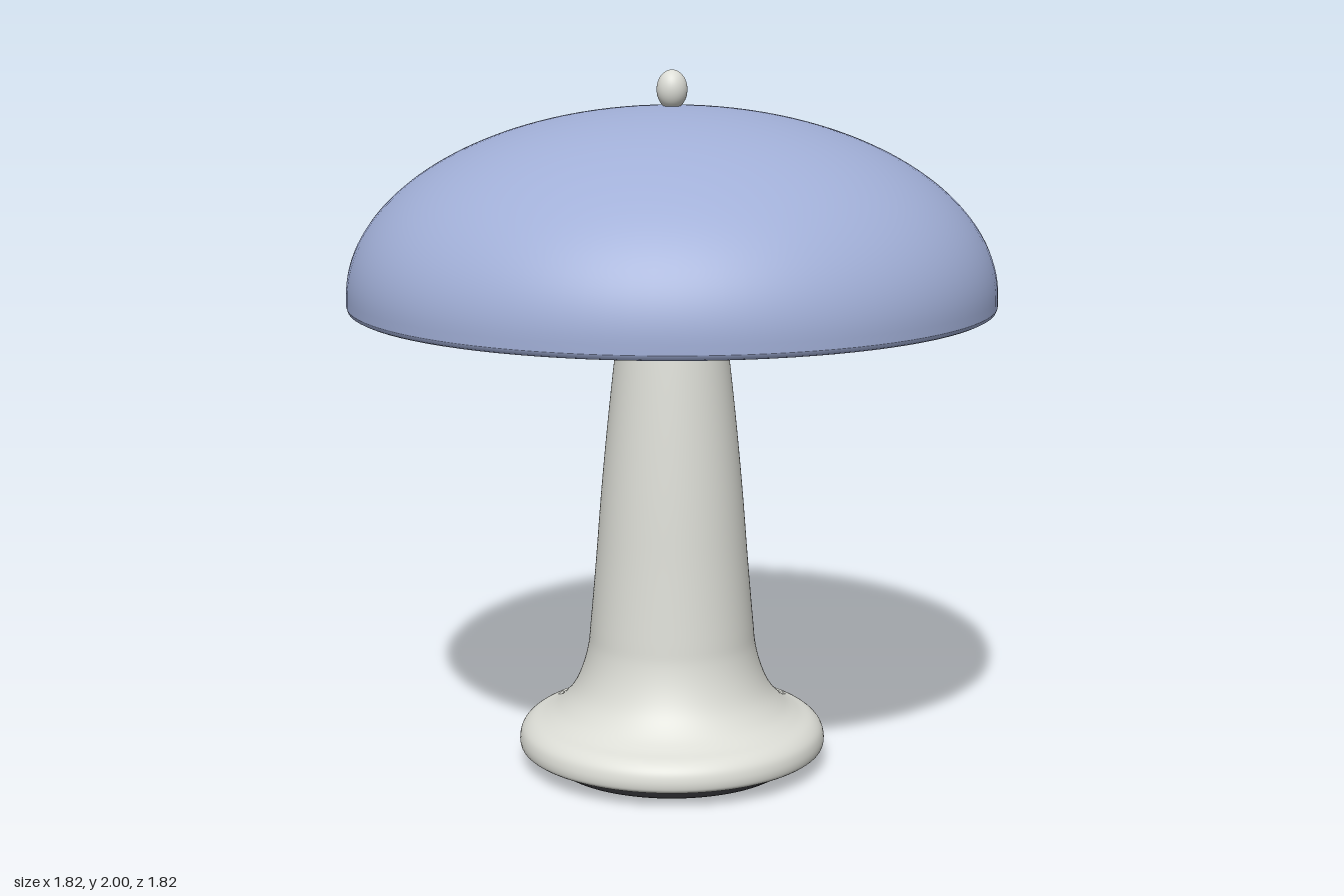
import * as THREE from 'three';

const SEGMENTS = 96;

const makeMaterial = (name, color) => {
  const m = new THREE.MeshStandardMaterial({ color });
  m.name = name;
  return m;
};
const toPoints = (pairs) => pairs.map(([x, y]) => new THREE.Vector2(x, y));

export function createModel() {
  const group = new THREE.Group();
  group.name = 'tableLamp';
  const blue = makeMaterial('shade blue', 0xa1afd7);
  const ivory = makeMaterial('ivory', 0xdcddd6);
  const black = makeMaterial('foot black', 0x2b2b2f);

  const add = (name, geometry, material, parent = group) => {
    const mesh = new THREE.Mesh(geometry, material);
    mesh.name = name;
    parent.add(mesh);
    return mesh;
  };
  // Profiles run counterclockwise (outwards below, then upwards) to face out
  const lathe = (name, points, material, parent) =>
    add(name, new THREE.LatheGeometry(points, SEGMENTS), material, parent);

  // Foot pad with a small bevel
  const foot = new THREE.Group();
  foot.name = 'foot';
  group.add(foot);
  lathe('footBottom', toPoints([[0, 0], [0.345, 0]]), black, foot);
  lathe('footSide', toPoints([[0.345, 0], [0.354, 0.008], [0.354, 0.05]]), black, foot);

  // Base flaring into the tapered stem
  const stand = new THREE.Group();
  stand.name = 'stand';
  group.add(stand);
  lathe('baseUnderside', toPoints([[0, 0.046], [0.43, 0.046]]), ivory, stand);
  const profile = new THREE.SplineCurve(toPoints([
    [0.43, 0.046], [0.441, 0.056], [0.443, 0.08], [0.434, 0.107], [0.41, 0.129],
    [0.37, 0.146], [0.33, 0.172], [0.29, 0.217], [0.262, 0.275], [0.243, 0.345],
    [0.235, 0.42], [0.219, 0.6], [0.203, 0.8], [0.184, 1.0], [0.162, 1.2],
    [0.142, 1.35],
  ]));
  lathe('baseAndStem', profile.getPoints(75), ivory, stand);

  // Flat plate closing the underside of the shade
  const plate = add('diffuserPlate', new THREE.CylinderGeometry(0.746, 0.746, 0.018, SEGMENTS), ivory);
  plate.position.y = 1.354;

  // Domed shade: outer shell, rounded rim and inner shell
  const shade = new THREE.Group();
  shade.name = 'shade';
  group.add(shade);
  const dome = (radius, height, centreY, steps = 40) =>
    Array.from({ length: steps + 1 }, (_, i) => {
      const a = (i / steps) * Math.PI / 2;
      return new THREE.Vector2(i === steps ? 0 : radius * Math.cos(a), centreY + height * Math.sin(a));
    });
  lathe('outerShade', [new THREE.Vector2(0.912, 1.355), ...dome(0.912, 0.52, 1.38)], blue, shade);
  lathe('shadeRim', toPoints([[0.875, 1.345], [0.882, 1.34], [0.9, 1.34], [0.908, 1.344], [0.912, 1.355]]), blue, shade);
  lathe('innerShade', [...dome(0.875, 0.485, 1.38).reverse(), new THREE.Vector2(0.875, 1.345)], blue, shade);

  // Egg-shaped finial
  const finial = add('finial', new THREE.SphereGeometry(1, 32, 24), ivory);
  finial.scale.set(0.043, 0.055, 0.043);
  finial.position.y = 1.945;

  return group;
}
